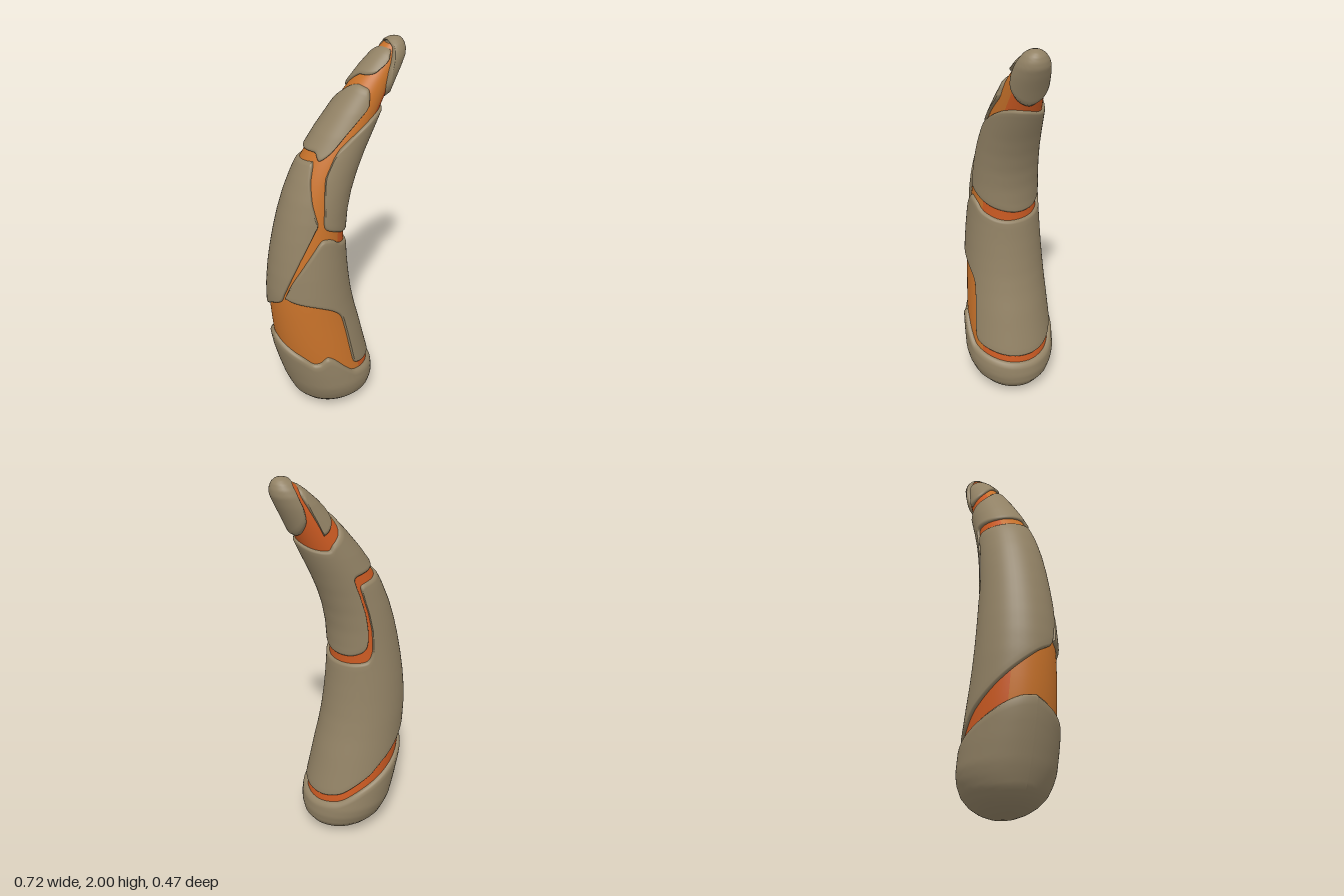
import * as THREE from 'three';

// Horn outline by height: [y, centre x, half width x, half depth z]
const PROFILE = [
  [0, 0, 0, 0], [0.01, -0.005, 0.07, 0.06], [0.03, -0.012, 0.13, 0.11], [0.06, -0.015, 0.175, 0.155],
  [0.1, -0.018, 0.207, 0.192], [0.15, -0.025, 0.223, 0.215], [0.2, -0.037, 0.231, 0.227], [0.3, -0.062, 0.236, 0.227],
  [0.4, -0.087, 0.237, 0.223], [0.5, -0.107, 0.234, 0.217], [0.6, -0.125, 0.226, 0.21], [0.7, -0.139, 0.219, 0.204],
  [0.8, -0.145, 0.211, 0.197], [0.9, -0.145, 0.201, 0.19], [1.0, -0.14, 0.19, 0.182], [1.1, -0.13, 0.18, 0.174],
  [1.2, -0.113, 0.172, 0.167], [1.3, -0.087, 0.167, 0.159], [1.4, -0.05, 0.163, 0.15], [1.5, -0.002, 0.157, 0.141],
  [1.6, 0.057, 0.147, 0.13], [1.7, 0.12, 0.131, 0.117], [1.8, 0.186, 0.111, 0.102], [1.87, 0.234, 0.098, 0.09],
  [1.92, 0.271, 0.083, 0.077], [1.95, 0.29, 0.066, 0.064], [1.975, 0.302, 0.047, 0.047], [1.99, 0.308, 0.028, 0.028], [2, 0.31, 0, 0],
];

// Point on the horn at an angle (0 = +x, 90 = +z) and height, moved outward by off
function hornPoint(deg, y, off) {
  y = THREE.MathUtils.clamp(y, 0, 2);
  let i = 1;
  while (i < PROFILE.length - 1 && PROFILE[i][0] < y) i++;
  const p = PROFILE[i - 1], q = PROFILE[i];
  const k = (y - p[0]) / (q[0] - p[0]);
  const [cx, hx, hz] = [1, 2, 3].map((j) => p[j] + (q[j] - p[j]) * k);
  const a = THREE.MathUtils.degToRad(deg);
  const fade = Math.min(1, hx / 0.08);
  return [cx + (hx + off * fade) * Math.cos(a), y, (hz + off * fade) * Math.sin(a)];
}

const LIP = -0.026;

// Curved patch. Each column is [lower angle, lower y, upper angle, upper y], angles falling.
// bevel says which borders (lower, upper, sides) are rounded down into the core.
function patch(columns, { off = 0, lower = true, upper = true, sides = true, power = 1 } = {}) {
  const low = new THREE.CatmullRomCurve3(columns.map((c) => new THREE.Vector3(c[0], c[1], 0)), false, 'catmullrom', 0.4);
  const high = new THREE.CatmullRomCurve3(columns.map((c) => new THREE.Vector3(c[2], c[3], 0)), false, 'catmullrom', 0.4);
  const n = (columns.length - 1) * 6;
  const ts = Array.from({ length: n + 1 }, (_, i) => i / n);
  if (sides) {
    ts.splice(1, 0, 0.15 / n);
    ts.splice(ts.length - 1, 0, 1 - 0.15 / n);
  }
  const rows = 26;
  const positions = [], index = [];
  ts.forEach((t, ci) => {
    const a = low.getPoint(t), b = high.getPoint(t);
    const span = Math.max(b.y - a.y, 0.001);
    const bevel = Math.min(0.018 / span, 0.3);
    const list = [];
    if (lower) list.push([0, LIP], [bevel * 0.2, -0.009], [bevel * 0.55, -0.003]);
    for (let r = 0; r <= rows; r++) {
      let s = r / rows;
      if (power > 1) s = Math.pow(s, power);
      if (power < 1) s = 1 - Math.pow(1 - s, 1 / power);
      const from = lower ? bevel : 0, to = upper ? 1 - bevel : 1;
      list.push([from + (to - from) * s, off]);
    }
    if (upper) list.push([1 - bevel * 0.55, -0.003], [1 - bevel * 0.2, -0.009], [1, LIP]);
    const edge = Math.min(ci, ts.length - 1 - ci);
    for (const [s, o] of list) {
      const d = sides && edge === 0 ? LIP : sides && edge === 1 ? Math.min(o, -0.008) : o;
      positions.push(...hornPoint(a.x + (b.x - a.x) * s, a.y + span * s, d));
    }
  });
  const m = positions.length / 3 / ts.length;
  for (let c = 0; c < ts.length - 1; c++) {
    for (let r = 0; r < m - 1; r++) {
      const p = c * m + r, q = p + m;
      index.push(p, q, p + 1, q, q + 1, p + 1);
    }
  }
  const g = new THREE.BufferGeometry();
  g.setAttribute('position', new THREE.Float32BufferAttribute(positions, 3));
  g.setIndex(index);
  g.computeVertexNormals();
  return g;
}

export function createModel() {
  const stone = new THREE.MeshStandardMaterial({ color: 0x928265, side: THREE.DoubleSide });
  stone.name = 'taupe shell';
  const amber = new THREE.MeshStandardMaterial({ color: 0xc8722a });
  amber.name = 'amber core';
  const ember = new THREE.MeshStandardMaterial({ color: 0xcb5a22 });
  ember.name = 'red orange core';

  const group = new THREE.Group();
  group.name = 'crackedHorn';
  const add = (name, geometry, material) => {
    const mesh = new THREE.Mesh(geometry, material);
    mesh.name = name;
    group.add(mesh);
  };

  // Glowing core, amber at the front left and redder elsewhere
  const coreStrip = (from, to) => {
    const cols = [];
    for (let i = 0; i <= 8; i++) {
      const a = from + (to - from) * i / 8;
      cols.push([a, 0.06, a, 1.975]);
    }
    return patch(cols, { off: -0.015, lower: false, upper: false, sides: false });
  };
  add('coreFrontLeft', coreStrip(215, 58), amber);
  add('coreBackRight', coreStrip(58, -145), ember);

  // Rounded base cap with a wavy rim
  const rim = [[180, 0.5], [155, 0.46], [135, 0.42], [122, 0.38], [112, 0.385], [101, 0.415], [92, 0.39], [80, 0.32], [70, 0.28],
    [45, 0.255], [15, 0.235], [-15, 0.23], [-45, 0.25], [-70, 0.31], [-90, 0.355], [-135, 0.45], [-160, 0.49], [-180, 0.5]];
  add('baseCap', patch(rim.map(([a, y]) => [a, 0, a, y]), { off: 0.006, lower: false, sides: false, power: 2 }), stone);

  // Large plate winding once around the lower half
  add('lowerPlate', patch([
    [147, 0.785, 145, 0.795], [139, 0.77, 137, 0.87], [105, 0.74, 115, 1.0], [82, 0.70, 95, 1.10], [68, 0.65, 82, 1.105],
    [64, 0.6, 70, 1.09], [64, 0.5, 62, 1.07], [65, 0.4, 54, 1.055], [64, 0.315, 45, 1.045], [40, 0.285, 30, 1.03],
    [10, 0.265, 10, 1.02], [-20, 0.265, -20, 1.02], [-45, 0.29, -45, 1.025], [-65, 0.345, -65, 1.04], [-80, 0.39, -74, 1.09],
    [-87, 0.42, -79, 1.2], [-95, 0.45, -84, 1.4], [-105, 0.48, -93, 1.45], [-140, 0.59, -138, 1.46], [-180, 0.7, -180, 1.475],
    [-205, 0.75, -205, 1.485], [-213, 0.81, -209, 1.485], [-220, 0.87, -214, 1.465], [-235, 1.0, -224, 1.39],
    [-247, 1.1, -240, 1.29], [-256, 1.18, -256, 1.2],
  ]), stone);

  // Second winding plate above it
  add('middlePlate', patch([
    [113, 1.42, 113, 1.44], [107, 1.36, 111, 1.54], [98, 1.27, 100, 1.585], [90, 1.165, 84, 1.63], [70, 1.13, 62, 1.67],
    [40, 1.09, 35, 1.69], [0, 1.06, 0, 1.685], [-35, 1.06, -35, 1.66], [-58, 1.085, -58, 1.65], [-68, 1.13, -68, 1.65],
    [-74, 1.25, -74, 1.655], [-79, 1.43, -80, 1.665], [-88, 1.49, -90, 1.68], [-135, 1.5, -135, 1.73],
    [-180, 1.515, -180, 1.8], [-205, 1.52, -205, 1.815], [-222, 1.49, -225, 1.81], [-237, 1.53, -243, 1.80],
    [-250, 1.62, -255, 1.775], [-266, 1.71, -266, 1.735],
  ]), stone);

  // Small plate behind the tip
  add('upperPlate', patch([
    [-80, 1.72, -82, 1.735], [-88, 1.725, -93, 1.85], [-100, 1.735, -105, 1.91], [-135, 1.775, -135, 1.945],
    [-180, 1.84, -180, 1.96], [-210, 1.85, -220, 1.96], [-235, 1.86, -245, 1.95], [-252, 1.9, -254, 1.925],
  ]), stone);

  // Claw-like tip, reaching lowest on the inner side of the bend
  const half = [[180, 1.982], [140, 1.975], [110, 1.955], [90, 1.9], [78, 1.85], [60, 1.79], [30, 1.735]];
  const tipEdge = [...half, [0, 1.71], ...half.map(([a, y]) => [-a, y]).reverse()];
  add('tip', patch(tipEdge.map(([a, y]) => [a, y, a, 2]), { off: 0.005, upper: false, sides: false, power: 0.5 }), stone);

  return group;
}
